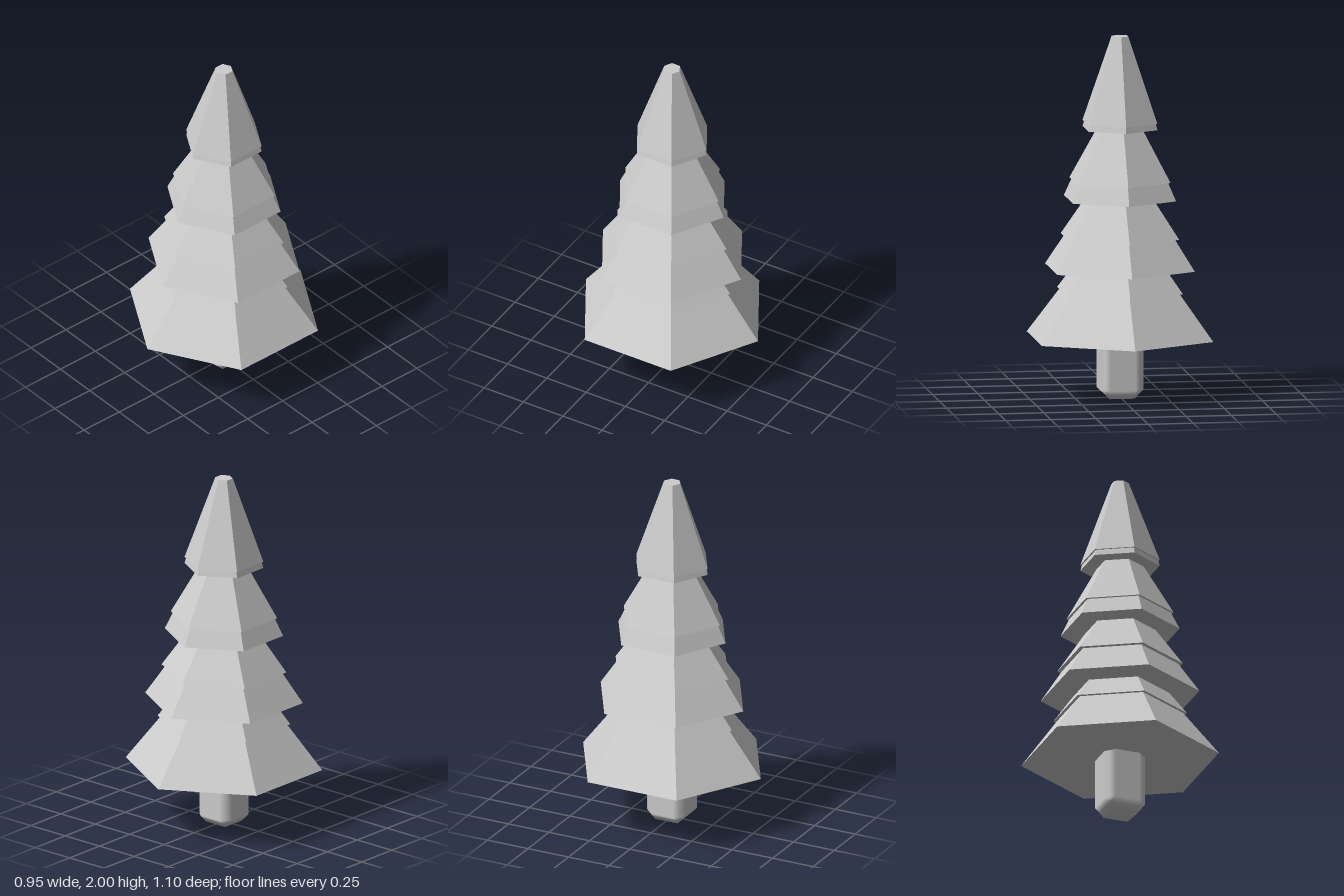
import * as THREE from 'three';
import { RoundedBoxGeometry } from 'three/addons/geometries/RoundedBoxGeometry.js';

// Box with straight 45-degree chamfers and soft shading across them
function chamferedBox(width, height, bevel) {
  const geometry = new RoundedBoxGeometry(width, height, width, 1, bevel);
  const limit = new THREE.Vector3(width / 2 - bevel, height / 2 - bevel, width / 2 - bevel);
  const low = limit.clone().negate();
  const p = new THREE.Vector3(), inner = new THREE.Vector3();
  const position = geometry.attributes.position;
  for (let i = 0; i < position.count; i++) {
    p.fromBufferAttribute(position, i);
    inner.copy(p).clamp(low, limit);
    p.sub(inner);
    const reach = p.manhattanLength();
    if (reach > 1e-6) p.multiplyScalar(bevel / reach);
    p.add(inner);
    position.setXYZ(i, p.x, p.y, p.z);
  }
  return geometry;
}

// Six-sided frustum with hard edges, corners pointing along z
function hexTier(bottomRadius, topRadius, height) {
  const geometry = new THREE.CylinderGeometry(topRadius, bottomRadius, height, 6).toNonIndexed();
  geometry.computeVertexNormals();
  return geometry;
}

export function createModel() {
  const model = new THREE.Group();
  model.name = 'pineTree';

  const grey = new THREE.MeshStandardMaterial({ color: 0xcccccc, flatShading: false });
  grey.name = 'plain grey';

  // Trunk, its top hidden inside the lowest tier
  const trunk = new THREE.Mesh(chamferedBox(0.238, 0.5, 0.05), grey);
  trunk.name = 'trunk';
  trunk.position.y = 0.25;
  model.add(trunk);

  // Foliage tiers: bottom y, bottom radius, top y, top radius
  const tiers = [
    [0.335, 0.548, 0.590, 0.350],
    [0.590, 0.370, 0.718, 0.272],
    [0.718, 0.440, 0.890, 0.322],
    [0.890, 0.348, 1.102, 0.198],
    [1.102, 0.330, 1.202, 0.282],
    [1.202, 0.297, 1.490, 0.132],
    [1.490, 0.220, 1.525, 0.210],
    [1.525, 0.220, 2.000, 0.049],
  ];
  const foliage = new THREE.Group();
  foliage.name = 'foliage';
  tiers.forEach(([y0, r0, y1, r1], i) => {
    const tier = new THREE.Mesh(hexTier(r0, r1, y1 - y0), grey);
    tier.name = `foliageTier${i + 1}`;
    tier.position.y = (y0 + y1) / 2;
    foliage.add(tier);
  });
  model.add(foliage);

  return model;
}
